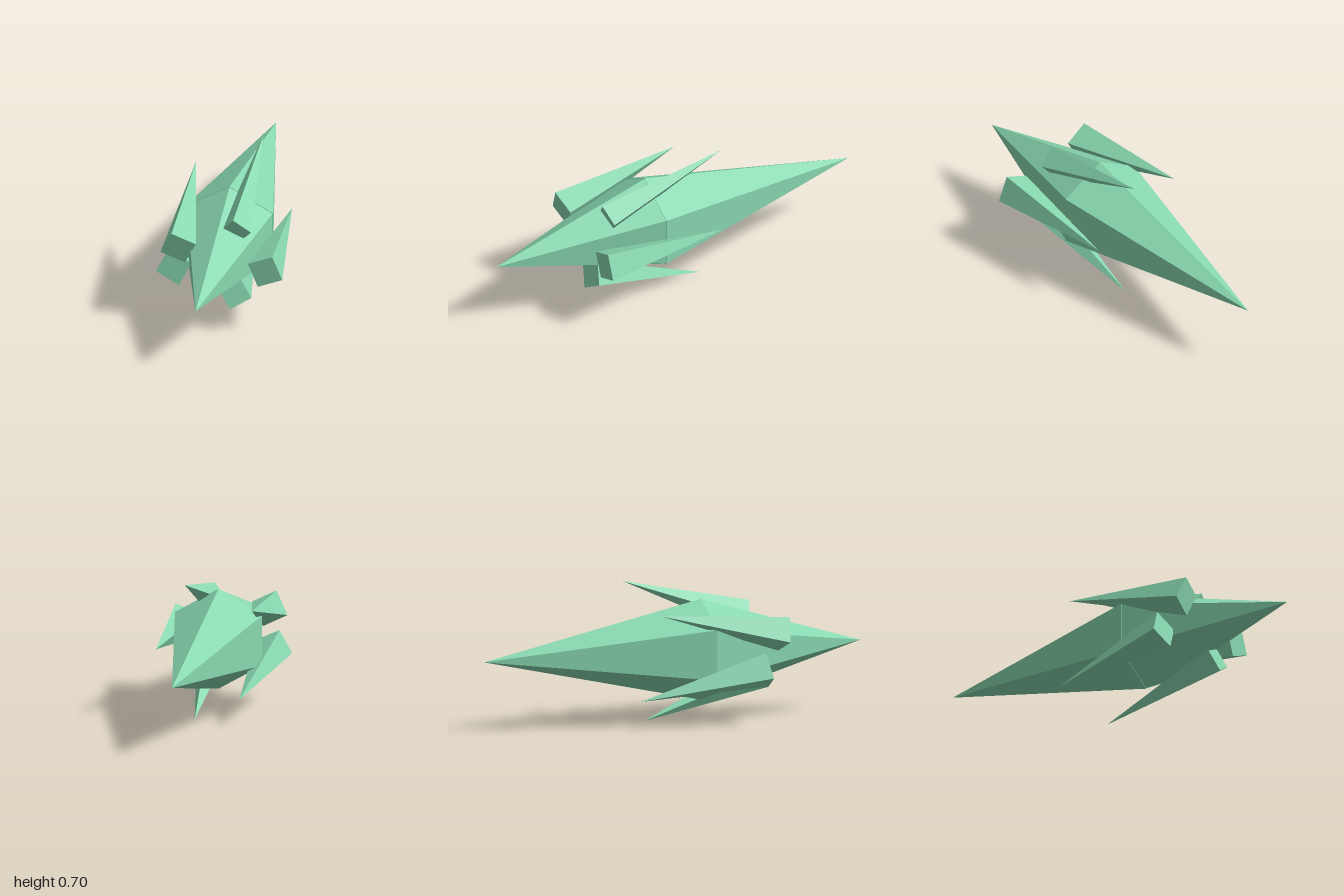
import * as THREE from 'three';

const mint = new THREE.MeshStandardMaterial({ color: 0x88d8b0, flatShading: true });
mint.name = 'mint crystal';

// A pyramid from its base centre to its apex; toward sets which way one base corner points.
function spike(name, radius, sides, base, apex, toward) {
  const a = new THREE.Vector3(...base);
  const b = new THREE.Vector3(...apex);
  const axis = b.clone().sub(a);
  const height = axis.length();
  axis.normalize();
  const corner = new THREE.Vector3(...toward).projectOnPlane(axis).normalize();
  const side = new THREE.Vector3().crossVectors(axis, corner);
  const mesh = new THREE.Mesh(new THREE.ConeGeometry(radius, height, sides), mint);
  mesh.name = name;
  mesh.quaternion.setFromRotationMatrix(new THREE.Matrix4().makeBasis(side, axis, corner));
  mesh.position.copy(a).add(b).multiplyScalar(0.5);
  return mesh;
}

export function createModel() {
  const model = new THREE.Group();
  model.name = 'crystalCluster';

  // Core: two six-sided spikes meeting base to base
  const [x, y] = [-0.012, 0.353];
  model.add(
    spike('coreFront', 0.249, 6, [x, y, 0.16], [x, y, 1], [0, 1, 0]),
    spike('coreBack', 0.252, 6, [x, y, 0.16], [x, y, -0.99], [0, 1, 0]),
  );

  // Shards: four-sided spikes around the core, pointing backward
  const shards = [
    ['upperLeftShard', 0.079, [0.07, 0.498, 0.417], [0.08, 0.701, -0.22], [-0.007, 0.075, 0.023]],
    ['leftShard', 0.094, [0.2415, 0.352, 0.53], [0.2415, 0.353, -0.14], [0.0365, 0.087, 0]],
    ['lowerLeftShard', 0.086, [0.086, 0.2115, 0.518], [0.052, 0.002, -0.115], [-0.018, -0.08, 0.027]],
    ['lowerRightShard', 0.0945, [-0.24, 0.2685, 0.42], [-0.197, 0.139, -0.235], [-0.03, 0.0875, -0.0195]],
    ['upperRightShard', 0.094, [-0.196, 0.436, 0.525], [-0.24, 0.566, -0.138], [-0.03, 0.087, 0.019]],
  ];
  for (const [name, radius, base, apex, toward] of shards) {
    model.add(spike(name, radius, 4, base, apex, toward));
  }
  return model;
}
